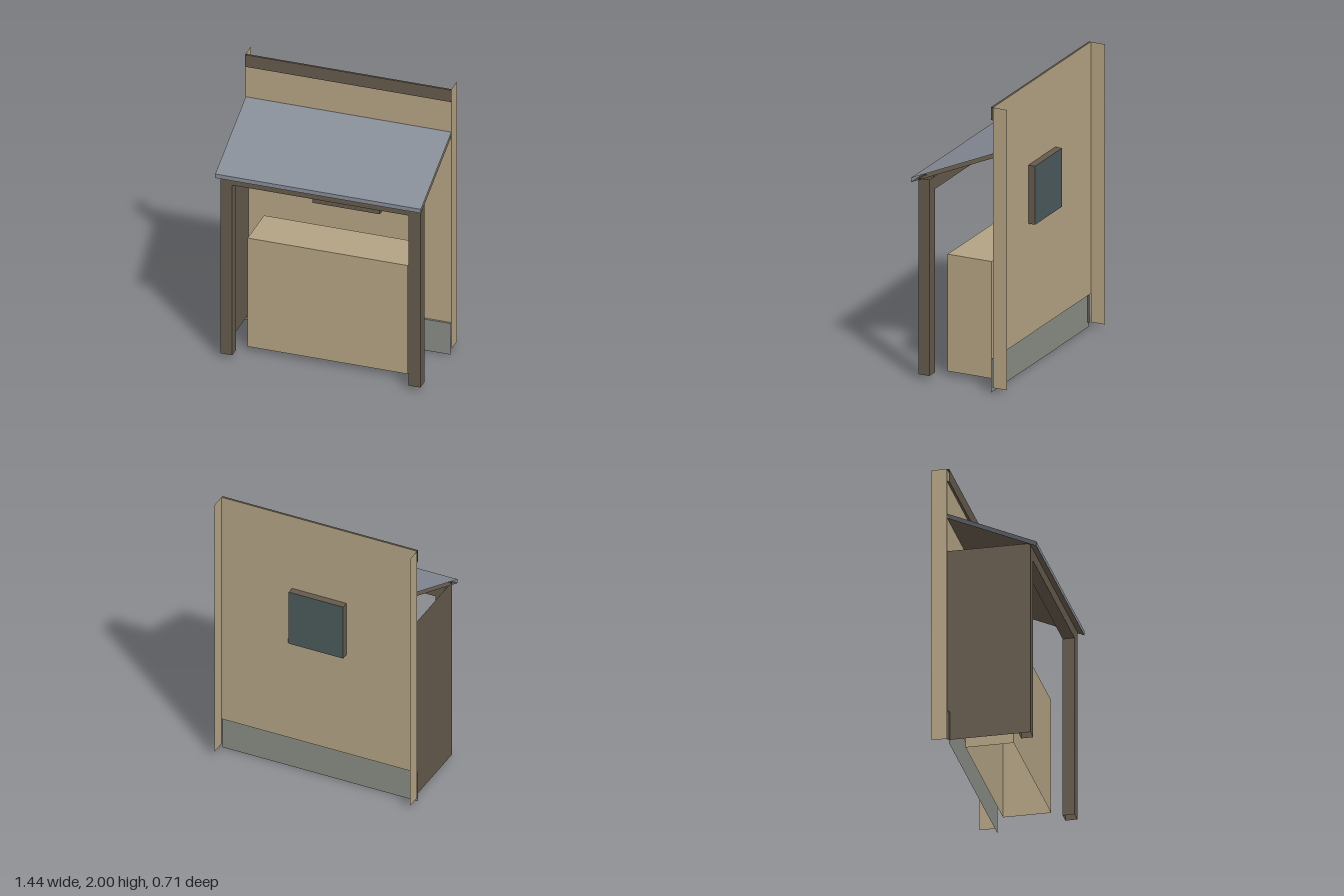
import * as THREE from 'three';

const paint = (color) => new THREE.MeshStandardMaterial({ color, side: THREE.DoubleSide });

// Face numbers of a box, for leaving sides open
const PX = 0, NX = 1, TOP = 2, BOTTOM = 3, BACK = 5;

export function createModel() {
  const model = new THREE.Group();
  const plaster = paint(0xb3a283);
  const timber = paint(0x64594b);
  const slate = paint(0x868c97);
  const stone = paint(0x888b84);
  const glass = paint(0x4b595b);

  const add = (name, geometry, material) => {
    const mesh = new THREE.Mesh(geometry, material);
    mesh.name = name;
    model.add(mesh);
    return mesh;
  };

  // Box given by its limits, with some faces left out
  const box = (name, material, [x0, x1], [y0, y1], [z0, z1], open = []) => {
    const g = new THREE.BoxGeometry(x1 - x0, y1 - y0, z1 - z0);
    g.translate((x0 + x1) / 2, (y0 + y1) / 2, (z0 + z1) / 2);
    const index = Array.from(g.index.array);
    g.setIndex(index.filter((_, i) => !open.includes(Math.floor(i / 6))));
    g.clearGroups();
    return add(name, g, material);
  };

  // Flat four-cornered sheet, corners counter-clockwise from its front
  const sheet = (name, material, a, b, c, d) => {
    const g = new THREE.BufferGeometry();
    g.setAttribute('position', new THREE.Float32BufferAttribute([...a, ...b, ...c, ...d], 3));
    g.setIndex([0, 1, 2, 0, 2, 3]);
    g.computeVertexNormals();
    return add(name, g, material);
  };

  // Rectangle with a rectangular hole, lying at depth z
  const piercedPanel = (name, material, [x0, x1, y0, y1], [hx0, hx1, hy0, hy1], z) => {
    const shape = new THREE.Shape();
    shape.moveTo(x0, y0).lineTo(x1, y0).lineTo(x1, y1).lineTo(x0, y1).closePath();
    const hole = new THREE.Path();
    hole.moveTo(hx0, hy0).lineTo(hx0, hy1).lineTo(hx1, hy1).lineTo(hx1, hy0).closePath();
    shape.holes.push(hole);
    return add(name, new THREE.ShapeGeometry(shape).translate(0, 0, z), material);
  };

  const W = 0.72, wallZ = -0.25, backZ = -0.355, floor = 0.035;

  // Wall with window opening, its two returns, stone base and top trim
  piercedPanel('wall', plaster, [-W, W, 0.235, 2], [-0.2, 0.2, 1.02, 1.43], wallZ);
  box('stoneBase', stone, [-W, W], [0, 0.235], [wallZ, -0.235], [PX, NX, BOTTOM, BACK]);
  box('topTrim', timber, [-W, W], [1.91, 2], [wallZ, -0.235], [PX, NX, BACK]);
  for (const s of [1, -1]) {
    sheet(s > 0 ? 'leftWallReturn' : 'rightWallReturn', plaster,
      [s * W, floor, s > 0 ? wallZ : backZ], [s * W, floor, s > 0 ? backZ : wallZ],
      [s * W, 2, s > 0 ? backZ : wallZ], [s * W, 2, s > 0 ? wallZ : backZ]);
  }

  // Recessed window: lining, inner frame, pane and sill
  box('windowLining', timber, [-0.2, 0.2], [1.02, 1.43], [-0.3, wallZ], [4, BACK]);
  piercedPanel('windowFrame', timber, [-0.2, 0.2, 1.02, 1.43], [-0.165, 0.165, 1.055, 1.395], -0.29);
  sheet('windowPane', glass, [-0.2, 1.02, -0.3], [0.2, 1.02, -0.3], [0.2, 1.43, -0.3], [-0.2, 1.43, -0.3]);
  box('windowSill', timber, [-0.235, 0.235], [0.99, 1.02], [wallZ, -0.2]);

  // Front posts and beam
  for (const s of [1, -1]) {
    const x = s > 0 ? [0.617, 0.7] : [-0.7, -0.617];
    box(s > 0 ? 'leftPost' : 'rightPost', timber, x, [floor, 1.41], [0.23, 0.31], [TOP, BOTTOM]);
  }
  box('frontBeam', timber, [-0.617, 0.617], [1.32, 1.41], [0.23, 0.31], [PX, NX]);

  // Boarded side, on the right only
  sheet('sidePanel', timber, [-0.7, floor, wallZ], [-0.7, floor, 0.31], [-0.7, 1.41, 0.31], [-0.7, 1.41, wallZ]);

  // Lean-to roof: slope, front edge and underside, open at the ends
  const eaveZ = 0.355;
  sheet('roofSlope', slate, [-W, 1.41, eaveZ], [W, 1.41, eaveZ], [W, 1.675, wallZ], [-W, 1.675, wallZ]);
  sheet('roofEdge', slate, [-W, 1.38, eaveZ], [W, 1.38, eaveZ], [W, 1.41, eaveZ], [-W, 1.41, eaveZ]);
  sheet('roofUnderside', timber, [-W, 1.645, wallZ], [W, 1.645, wallZ], [W, 1.38, eaveZ], [-W, 1.38, eaveZ]);

  // Counter block, hollow underneath
  box('counter', plaster, [-0.56, 0.56], [floor, 0.855], [-0.16, 0.165], [BOTTOM]);

  return model;
}
